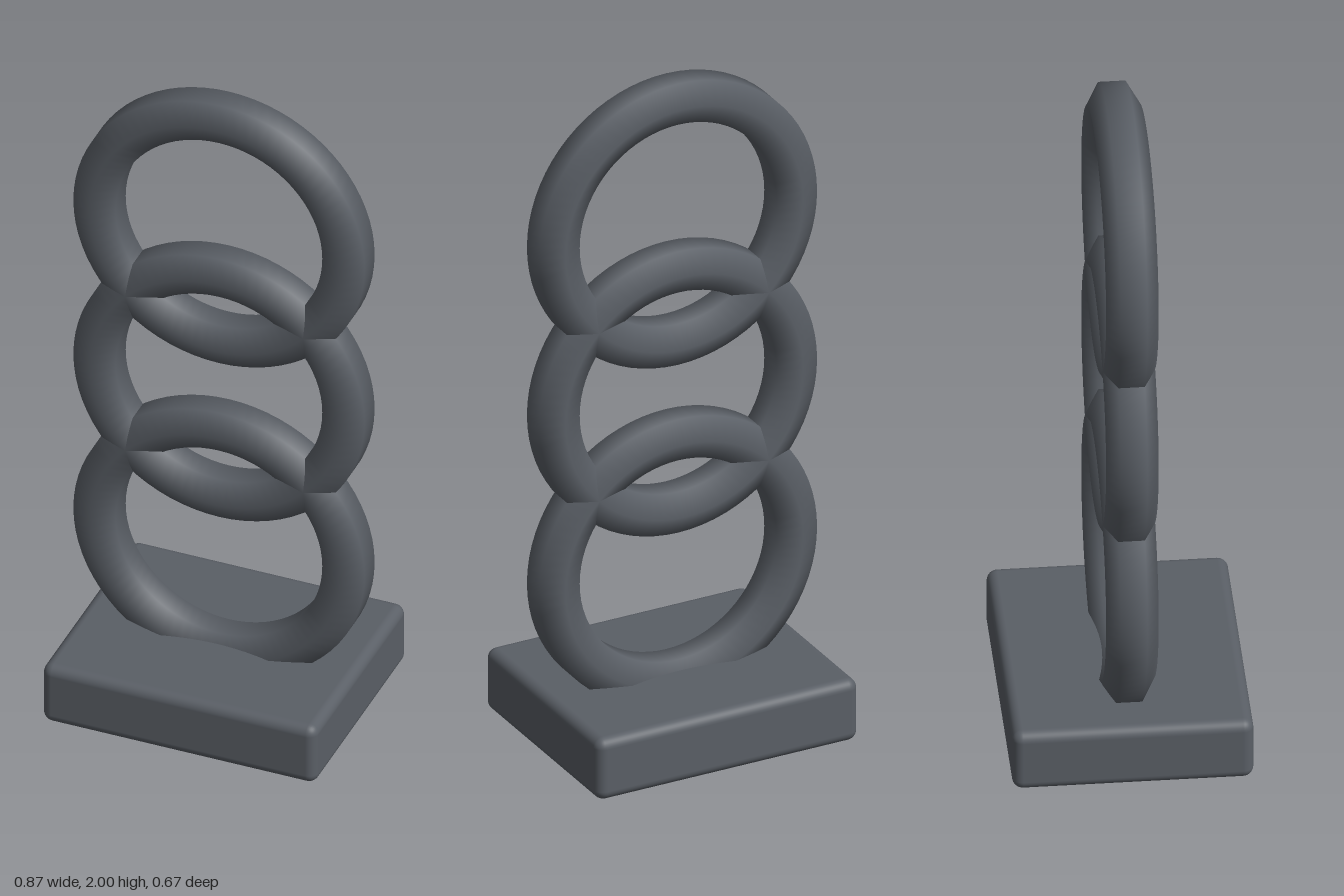
import * as THREE from 'three';
import { RoundedBoxGeometry } from 'three/addons/geometries/RoundedBoxGeometry.js';
import { ParametricGeometry } from 'three/addons/geometries/ParametricGeometry.js';

const RING_RADIUS = 0.372;
const TUBE_RADIUS = 0.073;

// Ring with a six-sided tube, turned so that a flat side faces outwards
function ringGeometry() {
  const point = (u, v, target) => {
    const around = u * Math.PI * 2;
    const tube = v * Math.PI * 2 + Math.PI / 6;
    const r = RING_RADIUS + TUBE_RADIUS * Math.cos(tube);
    target.set(r * Math.cos(around), r * Math.sin(around), TUBE_RADIUS * Math.sin(tube));
  };
  return new ParametricGeometry(point, 72, 6);
}

export function createModel() {
  const model = new THREE.Group();
  model.name = 'ringSculpture';

  const slate = new THREE.MeshStandardMaterial({ color: 0x5a5f66 });
  slate.name = 'slate grey';

  // Rounded plinth
  const base = new THREE.Mesh(new RoundedBoxGeometry(0.82, 0.19, 0.67, 4, 0.03), slate);
  base.name = 'base';
  base.position.y = 0.095;
  model.add(base);

  // Three overlapping upright rings, the lowest sunk into the plinth
  const geometry = ringGeometry();
  ['lowerRing', 'middleRing', 'upperRing'].forEach((name, i) => {
    const ring = new THREE.Mesh(geometry, slate);
    ring.name = name;
    ring.position.y = 0.525 + i * 0.52;
    model.add(ring);
  });

  return model;
}
